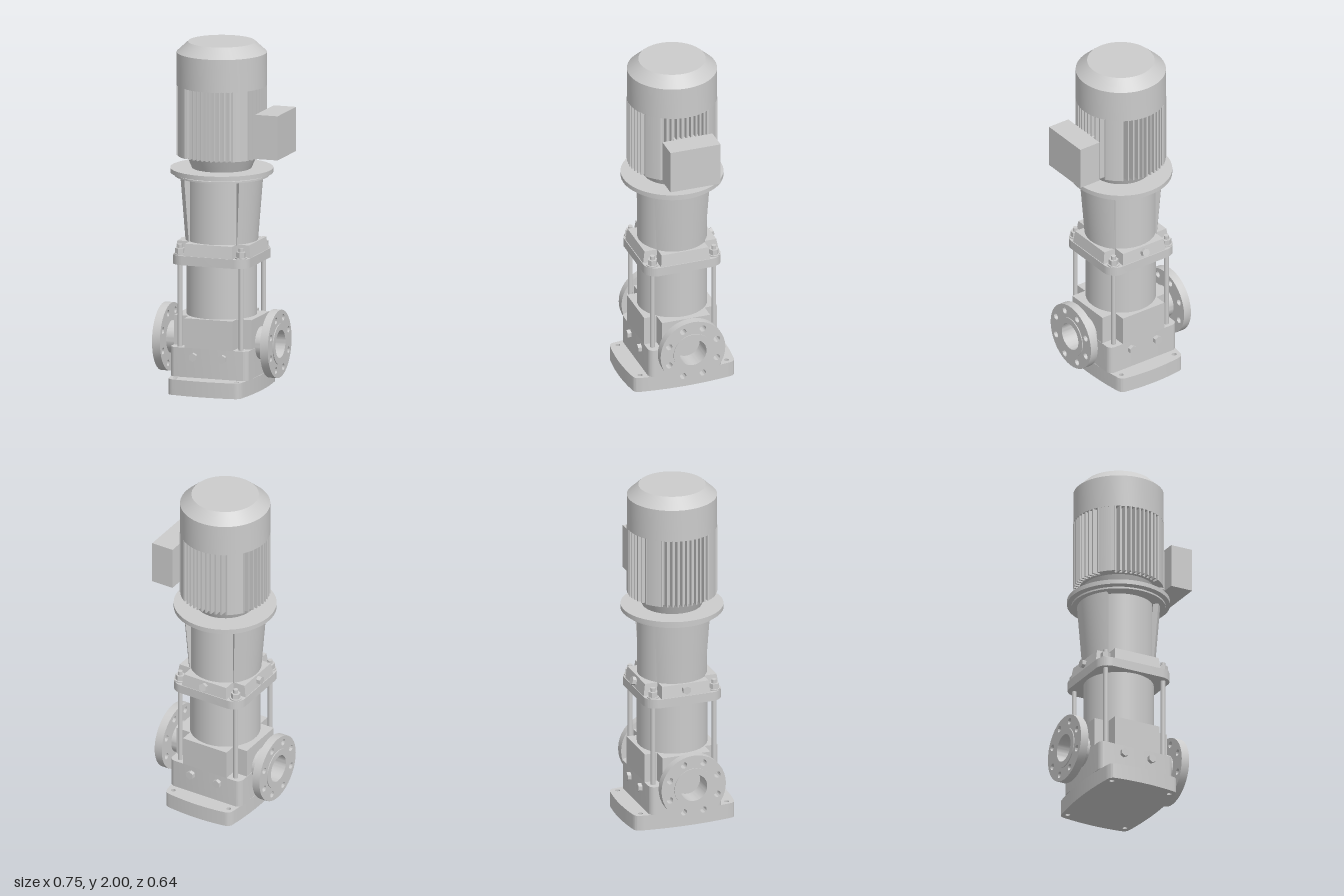
import * as THREE from 'three';
import { toCreasedNormals } from 'three/addons/utils/BufferGeometryUtils.js';

const grey = new THREE.MeshStandardMaterial({ color: 0xcccccc });
const sheet = new THREE.MeshStandardMaterial({ color: 0xcccccc, side: THREE.DoubleSide });
const V = (x, y) => new THREE.Vector2(x, y);

export function createModel() {
  const model = new THREE.Group();
  const pump = new THREE.Group();
  pump.name = 'pump';
  pump.position.x = -0.02;
  model.add(pump);

  function add(name, geo, parent = pump, mat = grey) {
    const mesh = new THREE.Mesh(geo, mat);
    mesh.name = name;
    parent.add(mesh);
  }
  const lathe = (pts, seg = 64, start = 0, len = Math.PI * 2) =>
    toCreasedNormals(new THREE.LatheGeometry(pts.map(p => V(...p)), seg, start, len), 0.5);
  const cyl = (r, y0, y1, seg = 32) =>
    new THREE.CylinderGeometry(r, r, y1 - y0, seg).translate(0, (y0 + y1) / 2, 0);
  const hole = (x, y, r) => new THREE.Path().absarc(x, y, r, 0, Math.PI * 2, true);
  // Plan outline raised from y0 to y1, its top scaled by taper
  function slab(shape, y0, y1, taper = 1) {
    const g = new THREE.ExtrudeGeometry(shape, { depth: y1 - y0, bevelEnabled: false, curveSegments: 20 });
    g.rotateX(-Math.PI / 2);
    const p = g.attributes.position;
    for (let i = 0; i < p.count; i++) {
      const k = p.getY(i) > (y1 - y0) / 2 ? taper : 1;
      p.setXYZ(i, p.getX(i) * k, p.getY(i) + y0, p.getZ(i) * k);
    }
    return toCreasedNormals(g, 0.5);
  }
  function roundRect(a, b, r) {
    const s = new THREE.Shape();
    s.absarc(a - r, b - r, r, 0, Math.PI / 2);
    s.absarc(-a + r, b - r, r, Math.PI / 2, Math.PI);
    s.absarc(-a + r, -b + r, r, Math.PI, Math.PI * 1.5);
    s.absarc(a - r, -b + r, r, Math.PI * 1.5, Math.PI * 2);
    return s;
  }
  // Rectangle with its four corners cut out beyond n
  const cross = (a, b, n) => new THREE.Shape([
    V(a, -n), V(a, n), V(n, n), V(n, b), V(-n, b), V(-n, n),
    V(-a, n), V(-a, -n), V(-n, -n), V(-n, -b), V(n, -b), V(n, -n)]);
  const corners = [[1, 1], [1, -1], [-1, 1], [-1, -1]];

  // Foot plate with bowed edges and anchor holes
  const foot = new THREE.Shape();
  foot.moveTo(0.19, -0.305);
  foot.quadraticCurveTo(0.21, -0.3, 0.218, -0.28);
  foot.quadraticCurveTo(0.262, 0, 0.218, 0.28);
  foot.quadraticCurveTo(0.21, 0.3, 0.19, 0.305);
  foot.quadraticCurveTo(0, 0.335, -0.19, 0.305);
  foot.quadraticCurveTo(-0.21, 0.3, -0.218, 0.28);
  foot.quadraticCurveTo(-0.262, 0, -0.218, -0.28);
  foot.quadraticCurveTo(-0.21, -0.3, -0.19, -0.305);
  foot.quadraticCurveTo(0, -0.335, 0.19, -0.305);
  for (const [sx, sz] of corners) foot.holes.push(hole(sx * 0.185, sz * 0.26, 0.014));
  add('footPlate', slab(foot, 0, 0.09));

  // Housing: full block below, notched corners above for the stay rods
  add('housingLower', slab(roundRect(0.236, 0.22, 0.035), 0.09, 0.26));
  add('housingUpper', slab(cross(0.234, 0.22, 0.145), 0.26, 0.43));

  // Hexagonal plugs: drains front and back, vents on the head
  function plug(name, x, y, z, turn, tilt = 0) {
    const geo = toCreasedNormals(new THREE.CylinderGeometry(0.025, 0.025, 0.03, 6), 0.5);
    add(name, geo.rotateX(Math.PI / 2 + tilt).rotateY(turn).translate(x, y, z));
  }
  for (const x of [-0.088, 0.088]) for (const s of [1, -1]) plug('drainPlug', x, 0.21, s * 0.228, 0);
  plug('backVentPlug', 0, 0.828, -0.232, 0, 0.3);
  plug('sideVentPlug', -0.23, 0.828, 0, Math.PI / 2);

  // Two flanged ports
  for (const s of [1, -1]) {
    const port = new THREE.Group();
    port.name = s > 0 ? 'leftPort' : 'rightPort';
    port.position.y = 0.275;
    port.rotation.y = s > 0 ? 0 : Math.PI;
    pump.add(port);
    add('pipe', lathe([[0.093, 0.15], [0.093, 0.302], [0.117, 0.302], [0.117, 0.355], [0.08, 0.355], [0.08, 0.24], [0, 0.24]])
      .rotateZ(-Math.PI / 2), port);
    const ring = new THREE.Shape().absarc(0, 0, 0.195, 0, Math.PI * 2);
    ring.holes.push(hole(0, 0, 0.09));
    for (let i = 0; i < 8; i++) {
      const a = (i + 0.5) * Math.PI / 4;
      ring.holes.push(hole(0.155 * Math.cos(a), 0.155 * Math.sin(a), 0.019));
    }
    add('flange', slab(ring, 0.302, 0.35).rotateZ(-Math.PI / 2), port);
  }

  // Pressure sleeve, and head with pockets at the corners
  add('sleeve', cyl(0.2, 0.42, 0.75, 64));
  add('headPlate', slab(roundRect(0.232, 0.232, 0.075), 0.737, 0.79));
  add('headHump', slab(cross(0.228, 0.228, 0.148), 0.788, 0.86, 0.95));

  // Stay rods with washers and nuts
  for (const [sx, sz] of corners) {
    const stay = new THREE.Group();
    stay.name = 'stayBolt';
    stay.position.set(sx * 0.185, 0, sz * 0.185);
    pump.add(stay);
    add('rod', cyl(0.014, 0.25, 0.85, 20), stay);
    add('washer', cyl(0.034, 0.788, 0.797, 24), stay);
    add('nut', toCreasedNormals(cyl(0.028, 0.797, 0.828, 6), 0.5), stay);
  }

  // Lantern: flaring side walls with guard sheets front and back
  const wall = [[0.17, 0.855], [0.206, 0.855], [0.236, 1.235], [0.204, 1.235], [0.17, 0.855]];
  for (const s of [1, -1]) {
    const mid = s * Math.PI / 2;
    add('lanternWall', lathe(wall, 24, mid - Math.PI / 4, Math.PI / 2));
    for (const e of [-1, 1]) {
      const end = new THREE.ShapeGeometry(new THREE.Shape(wall.slice(0, 4).map(p => V(...p))));
      add('lanternWallEnd', end.rotateY(mid + e * Math.PI / 4 - Math.PI / 2), pump, sheet);
    }
    add('guard', new THREE.CylinderGeometry(0.199, 0.199, 0.38, 32, 1, true,
      (s > 0 ? 0 : Math.PI) - Math.PI / 4, Math.PI / 2).translate(0, 1.045, 0), pump, sheet);
  }

  // Coupling flanges and motor neck
  add('couplingFlange', lathe([[0, 1.228], [0.268, 1.228], [0.268, 1.238], [0.25, 1.238], [0.25, 1.247],
    [0.292, 1.247], [0.292, 1.273], [0, 1.273]], 96));
  add('motorNeck', lathe([[0.168, 1.27], [0.204, 1.352]]));

  // Motor barrel with parallel cooling fins on four sides and smooth corner pads
  const R = 0.256, core = 0.222;
  add('motorCore', cyl(core, 1.348, 1.76, 64));
  for (let q = 0; q < 4; q++) {
    const side = new THREE.Group();
    side.name = 'finBank';
    side.rotation.y = q * Math.PI / 2;
    pump.add(side);
    for (let i = -5; i <= 5; i++) {
      const x = i * 0.028;
      const z0 = Math.sqrt(core * core - x * x) - 0.02, z1 = Math.sqrt(R * R - x * x) - 0.001;
      add('fin', new THREE.BoxGeometry(0.01, 0.404, z1 - z0).translate(x, 1.55, (z0 + z1) / 2), side);
    }
    const pad = new THREE.Shape();
    pad.absarc(0, 0, R - 0.001, Math.PI * 0.19, Math.PI * 0.31);
    pad.absarc(0, 0, 0.2, Math.PI * 0.31, Math.PI * 0.19, true);
    add('cornerPad', slab(pad, 1.348, 1.755), side);
  }
  add('fanCover', lathe([[0, 1.75], [R, 1.75], [R, 1.94], [0.191, 2], [0, 2]], 96));

  // Terminal box
  add('terminalBoxNeck', new THREE.BoxGeometry(0.08, 0.24, 0.146).translate(0.225, 1.49, 0));
  add('terminalBox', new THREE.BoxGeometry(0.135, 0.255, 0.302).translate(0.3255, 1.492, 0));

  return model;
}
